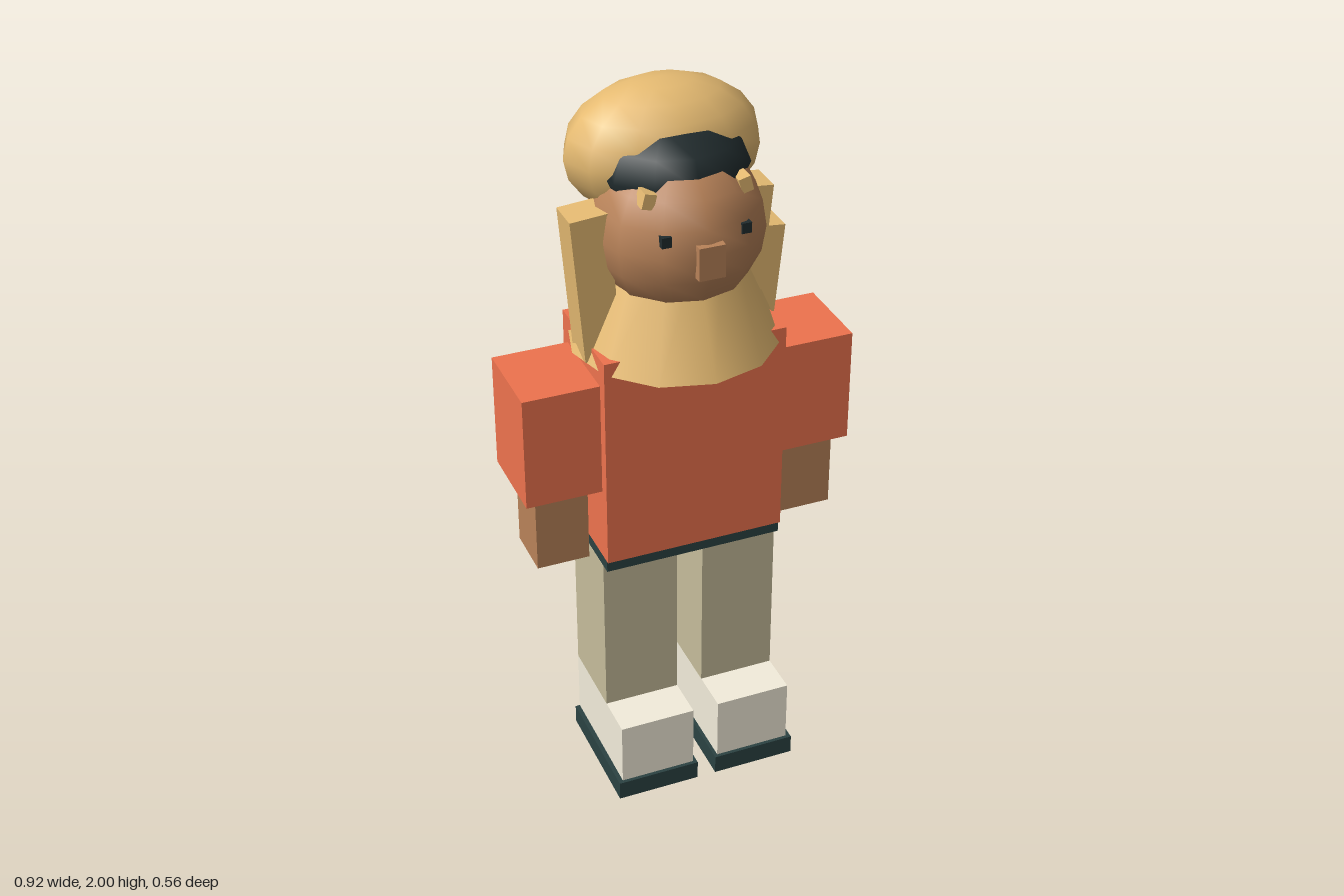
import * as THREE from 'three';

const mat = (color, side = THREE.FrontSide) => new THREE.MeshStandardMaterial({ color, side });

export function createModel() {
  const model = new THREE.Group();
  const coral = mat(0xee734e), skin = mat(0xb98359), blond = mat(0xe6bb72);
  const pants = mat(0xc6bd9b), canvas = mat(0xf3eddb), dark = mat(0x2b4242), black = mat(0x202b2d);

  function add(name, geometry, material, x, y, z, rz = 0) {
    const mesh = new THREE.Mesh(geometry, material);
    mesh.name = name;
    mesh.position.set(x, y, z);
    mesh.rotation.z = rz;
    model.add(mesh);
    return mesh;
  }
  // Box given by its lower and upper corners
  function block(name, material, [x0, y0, z0], [x1, y1, z1]) {
    const box = new THREE.BoxGeometry(x1 - x0, y1 - y0, z1 - z0);
    return add(name, box, material, (x0 + x1) / 2, (y0 + y1) / 2, (z0 + z1) / 2);
  }
  // Same box on both sides of the body
  function pair(name, material, [x0, y0, z0], [x1, y1, z1]) {
    block(name + 'Left', material, [x0, y0, z0], [x1, y1, z1]);
    block(name + 'Right', material, [-x1, y0, z0], [-x0, y1, z1]);
  }
  // Low-poly ellipsoid
  function ellipsoid(name, material, rows, [rx, ry, rz], y, z) {
    add(name, new THREE.SphereGeometry(1, 12, rows).scale(rx, ry, rz), material, 0, y, z);
  }

  // Legs and shoes
  pair('sole', dark, [0.027, 0, -0.115], [0.263, 0.055, 0.245]);
  pair('shoe', canvas, [0.037, 0.055, -0.115], [0.25, 0.24, 0.235]);
  pair('leg', pants, [0.037, 0.24, -0.115], [0.25, 0.715, 0.115]);

  // Belt, tucked under the shirt
  block('belt', dark, [-0.249, 0.715, -0.14], [0.249, 0.87, 0.142]);
  block('shirt', coral, [-0.25, 0.75, -0.152], [0.25, 1.36, 0.152]);

  // Arms
  pair('sleeve', coral, [0.25, 0.96, -0.12], [0.458, 1.28, 0.12]);
  pair('hand', skin, [0.28, 0.74, -0.06], [0.425, 0.96, 0.09]);

  // Flared collar, its top hidden in the head
  add('capelet', new THREE.CylinderGeometry(0.147, 0.28, 0.3, 12, 1, true),
    mat(0xe6bb72, THREE.DoubleSide), 0, 1.47, 0);

  // Head and face
  ellipsoid('head', skin, 10, [0.228, 0.228, 0.228], 1.65, 0.013);
  block('nose', skin, [-0.035, 1.598, 0.18], [0.035, 1.687, 0.248]);
  pair('eye', black, [0.092, 1.687, 0.185], [0.118, 1.715, 0.214]);

  // Dark hair, showing below the front of the beret
  ellipsoid('hair', black, 6, [0.21, 0.137, 0.212], 1.8, -0.045);

  // Small locks at the temples
  for (const s of [1, -1]) {
    add('templeLock', new THREE.BoxGeometry(0.032, 0.04, 0.045), blond, s * 0.127, 1.787, 0.134, s * 0.25);
  }

  // Beret
  ellipsoid('beret', blond, 10, [0.262, 0.18, 0.178], 1.82, -0.077);

  // Hanging hair strands
  add('strandRight', new THREE.BoxGeometry(0.1, 0.4, 0.095), blond, -0.233, 1.525, 0.017, 0.08);
  add('strandLeft', new THREE.BoxGeometry(0.1, 0.4, 0.095), blond, 0.186, 1.518, -0.007, -0.1);
  add('longStrandLeft', new THREE.BoxGeometry(0.16, 0.45, 0.105), blond, 0.241, 1.318, -0.12, -0.1);

  return model;
}
